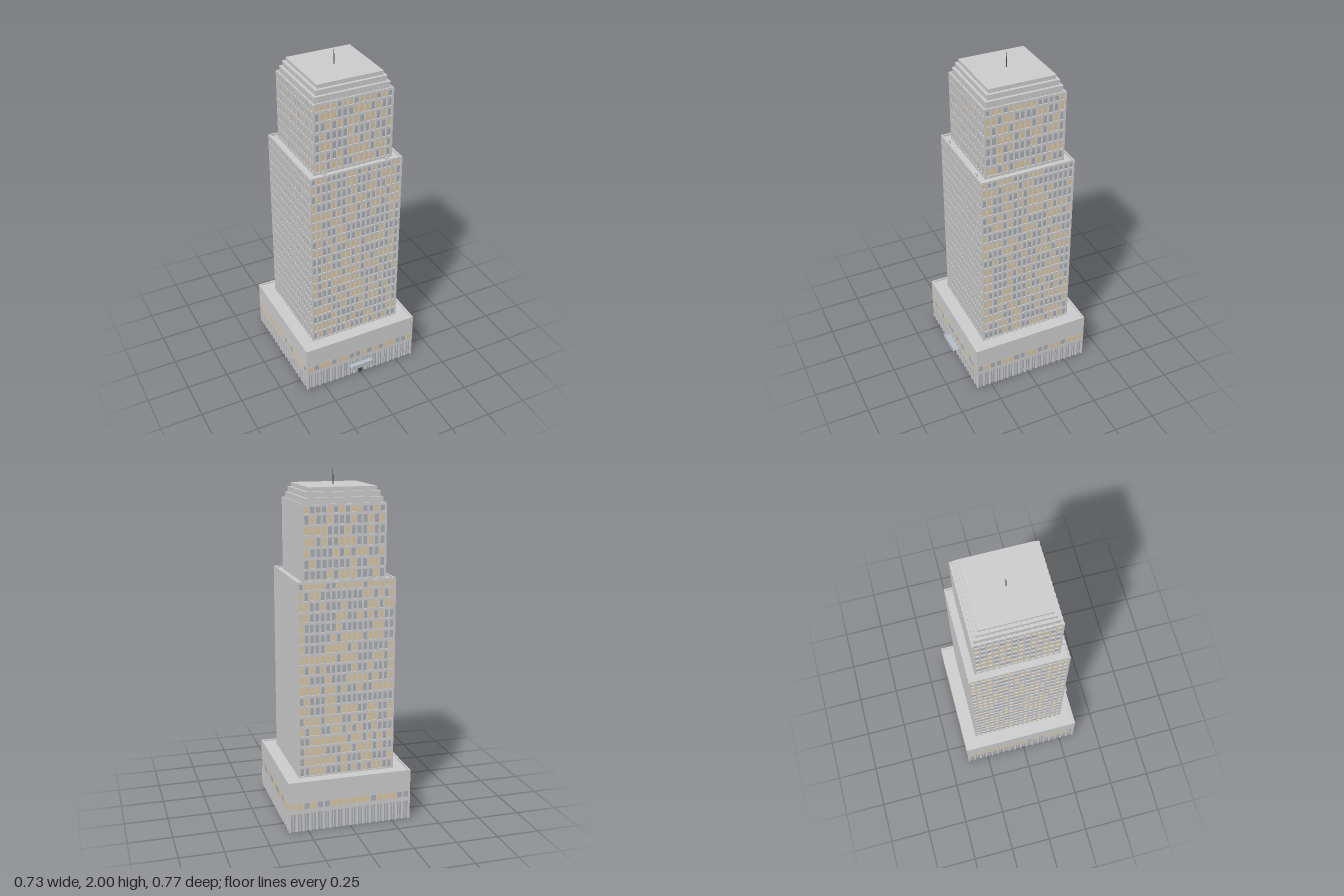
import * as THREE from 'three';
import { mergeGeometries } from 'three/addons/utils/BufferGeometryUtils.js';

const stone = new THREE.MeshStandardMaterial({ color: 0xcccccc });
const lit = new THREE.MeshStandardMaterial({ color: 0xdcc49a });
const unlit = new THREE.MeshStandardMaterial({ color: 0xa9adb3 });
const dark = new THREE.MeshStandardMaterial({ color: 0x484a50 });
const canopyBlue = new THREE.MeshStandardMaterial({ color: 0xb4bcc6 });

let seed = 7;
const rand = () => (seed = (seed * 16807) % 2147483647) / 2147483647;

// Box centred on x and z, resting at height y; k turns it to one of the four sides
function box(w, h, d, x, y, z, k = 0) {
  return new THREE.BoxGeometry(w, h, d).translate(x, y + h / 2, z).rotateY(k * Math.PI / 2);
}

function pane(w, h, x, y, z, k) {
  return new THREE.PlaneGeometry(w, h).translate(x, y + h / 2, z).rotateY(k * Math.PI / 2);
}

function part(group, name, geos, material) {
  const mesh = new THREE.Mesh(geos.length > 1 ? mergeGeometries(geos) : geos[0], material);
  mesh.name = name;
  group.add(mesh);
}

// Square rim of four thin walls
function rim(half, y, h, t) {
  const out = [];
  for (let k = 0; k < 4; k++) out.push(box(2 * half - t, h, t, -t / 2, y, half - t / 2, k));
  return out;
}

// Tower block: core, floor bands, piers and a grid of lit and unlit windows
function towerBlock(name, half, y0, y1, floors, bays) {
  const g = new THREE.Group();
  g.name = name;
  const floorH = (y1 - y0) / floors, pitch = (2 * half - 0.008) / bays;
  const band = 0.014, inset = 0.007;
  const bands = [], piers = [], warm = [], cool = [];
  for (let f = 0; f <= floors; f++) {
    const y = Math.min(y0 + f * floorH, y1 - band);
    if (f < floors) bands.push(box(2 * half, band, 2 * half, 0, y, 0));
  }
  for (let k = 0; k < 4; k++) {
    for (let b = 0; b <= bays; b++) {
      const x = (b - bays / 2) * pitch;
      piers.push(box(0.008, y1 - y0 - 0.004, inset + 0.004, x, y0, half - inset / 2 + 0.001, k));
      if (b === bays) continue;
      for (let f = 0; f < floors; f++) {
        const p = pane(pitch - 0.009, floorH - band - 0.002, x + pitch / 2,
          y0 + f * floorH + band + 0.001, half - inset + 0.001, k);
        (rand() < 0.5 ? warm : cool).push(p);
      }
    }
  }
  const c = 2 * (half - inset);
  part(g, 'core', [box(c, y1 - y0 - 0.012, c, 0, y0, 0)], stone);
  part(g, 'floorBands', bands, stone);
  part(g, 'piers', piers, stone);
  part(g, 'litWindows', warm, lit);
  part(g, 'unlitWindows', cool, unlit);
  part(g, 'parapet', rim(half, y1 - 0.014, 0.014, 0.008), stone);
  return g;
}

// Hollow podium, open underneath, with a storefront of piers and a window row
function podium(half, top) {
  const g = new THREE.Group();
  g.name = 'podium';
  const bays = 18, pitch = (2 * half - 0.012) / bays, front = 0.11;
  const piers = [], glass = [], lining = [], warm = [], cool = [], inner = [];
  for (let k = 0; k < 4; k++) {
    glass.push(pane(2 * half - 0.016, front, 0, 0, half - 0.008, k));
    lining.push(pane(2 * half - 0.02, front, 0, 0, -half + 0.01, k));
    for (let b = 0; b <= bays; b++) {
      const x = (b - bays / 2) * pitch;
      piers.push(box(0.012, front, 0.012, x, 0, half - 0.006, k));
      if (b === bays) continue;
      // slim mullion in the middle of each bay
      piers.push(box(0.004, front, 0.004, x + pitch / 2, 0, half - 0.006, k));
      const on = rand() < 0.65;
      (on ? warm : cool).push(box(0.028, 0.034, 0.002, x + pitch / 2, 0.137, half, k));
      inner.push(pane(0.028, 0.034, x + pitch / 2, 0.137, -half + 0.0105, k));
    }
  }
  part(g, 'podiumWalls', rim(half, front, top - front, 0.01), stone);
  part(g, 'podiumRoof', [box(2 * half - 0.01, 0.008, 2 * half - 0.01, 0, top - 0.016, 0)], stone);
  part(g, 'storefrontPiers', piers, stone);
  part(g, 'storefrontGlass', glass, unlit);
  part(g, 'storefrontLining', lining, lit);
  part(g, 'litPodiumWindows', warm, lit);
  part(g, 'unlitPodiumWindows', cool, unlit);
  part(g, 'innerPodiumWindows', inner, lit);
  return g;
}

export function createModel() {
  const model = new THREE.Group();
  model.name = 'skyscraper';
  const tower = new THREE.Group();
  tower.name = 'building';
  tower.position.z = -0.02;
  model.add(tower);

  tower.add(podium(0.363, 0.3));
  tower.add(towerBlock('lowerTower', 0.281, 0.284, 1.42, 19, 18));
  tower.add(towerBlock('upperTower', 0.237, 1.408, 1.83, 7, 14));

  // Stepped crown, each tier with a projecting lip
  const crown = [];
  for (const [half, y0, y1] of [[0.224, 1.815, 1.862], [0.211, 1.86, 1.893], [0.196, 1.89, 1.917]]) {
    crown.push(box(2 * half - 0.008, y1 - y0, 2 * half - 0.008, 0, y0, 0));
    crown.push(box(2 * half, 0.008, 2 * half, 0, y1 - 0.008, 0));
    for (let k = 0; k < 4; k++) {
      for (let i = -7; i <= 7; i++) {
        crown.push(box(0.006, y1 - y0 - 0.002, 0.004, i * half / 7.3, y0, half - 0.002, k));
      }
    }
  }
  part(tower, 'steppedCrown', crown, stone);

  // Antenna
  part(tower, 'antenna', [
    new THREE.CylinderGeometry(0.0025, 0.003, 0.06, 8).translate(0, 1.945, 0),
    new THREE.CylinderGeometry(0.001, 0.0015, 0.03, 8).translate(0, 1.985, 0),
  ], dark);

  // Small roof units on the setback terrace
  part(tower, 'roofUnits', [-1, 1].map(s => box(0.018, 0.024, 0.01, s * 0.19, 1.406, 0.267)), stone);

  // Entrance canopy with raised edge, and the door
  part(tower, 'canopy', [
    box(0.152, 0.006, 0.06, 0, 0.072, 0.373),
    box(0.152, 0.028, 0.003, 0, 0.072, 0.4015),
  ], canopyBlue);
  part(tower, 'door', [box(0.026, 0.045, 0.008, 0, 0, 0.361)], dark);

  return model;
}
